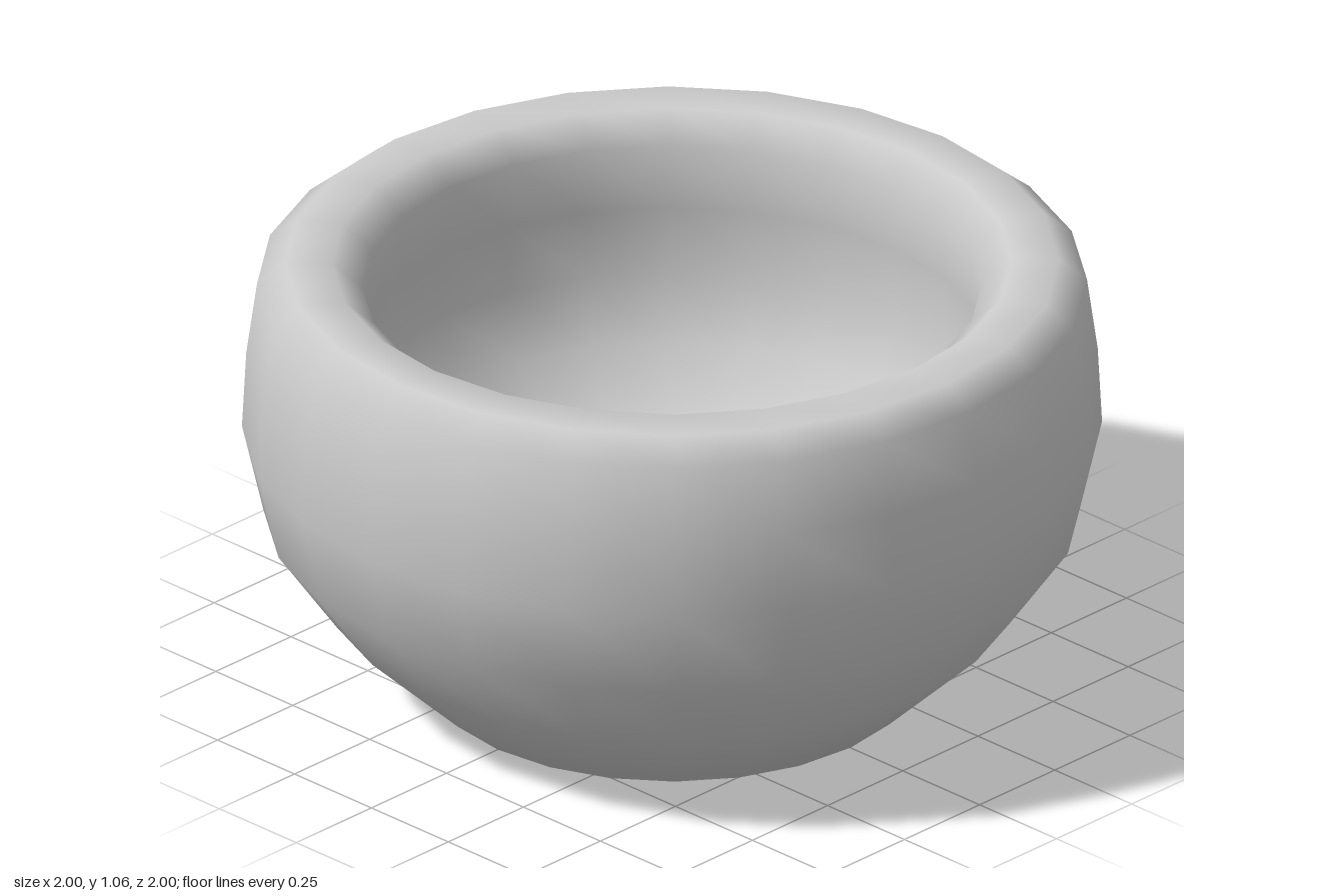
import * as THREE from 'three';

export function createModel() {
  const group = new THREE.Group();
  const clay = new THREE.MeshStandardMaterial({ color: 0xcccccc });
  clay.name = 'lightGrey';

  // One closed section: base, outer wall, rounded rim, inner wall, floor
  const section = [
    [0, 0], [0.58, 0],
    [0.81, 0.22], [0.95, 0.42], [1, 0.64], [0.99, 0.83], [0.965, 1.01],
    [0.9, 1.063], [0.79, 1.063], [0.72, 1.0],
    [0.735, 0.83], [0.74, 0.66], [0.69, 0.5], [0.57, 0.37], [0.38, 0.29], [0, 0.26],
  ].map(([r, y]) => new THREE.Vector2(r, y));

  const bowl = new THREE.Mesh(new THREE.LatheGeometry(section, 24), clay);
  bowl.name = 'bowl';
  group.add(bowl);
  return group;
}
